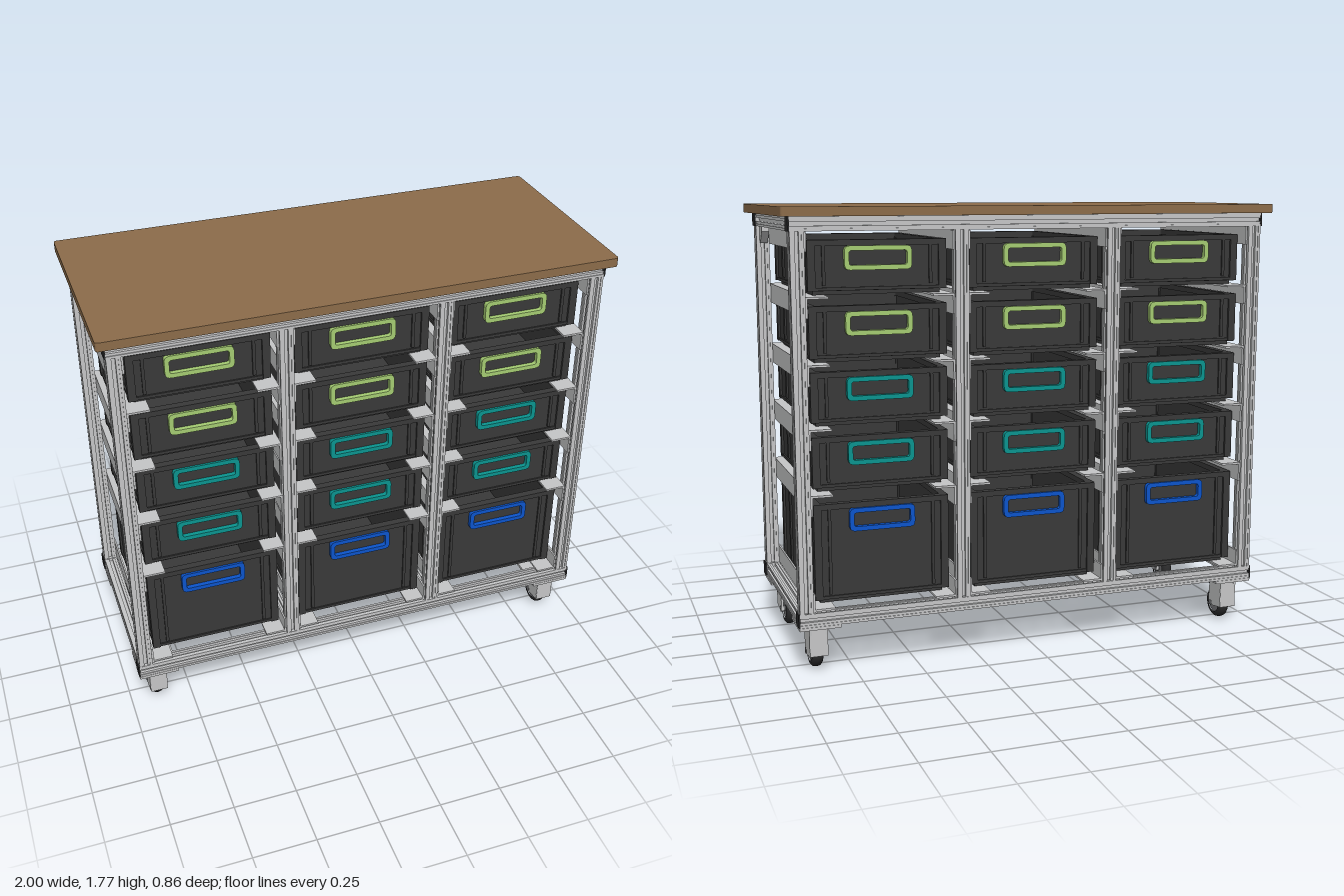
import * as THREE from 'three';

const mat = (name, color) => {
  const m = new THREE.MeshStandardMaterial({ color });
  m.name = name;
  return m;
};

export function createModel() {
  const wood = mat('wood', 0x8c6c4a);
  const aluminium = mat('aluminium', 0xc6c7c8);
  const crateGrey = mat('crate grey', 0x393939);
  const capBlack = mat('cap black', 0x2b2b2c);
  const hubGrey = mat('hub grey', 0x77787a);
  const lime = mat('lime', 0xa5cc72);
  const teal = mat('teal', 0x0b9590);
  const blue = mat('blue', 0x0c55cc);

  const root = new THREE.Group();
  root.name = 'drawerTrolley';

  const add = (parent, name, geo, material, x = 0, y = 0, z = 0) => {
    const m = new THREE.Mesh(geo, material);
    m.name = name;
    m.position.set(x, y, z);
    parent.add(m);
    return m;
  };
  const box = (parent, name, w, h, d, material, x, y, z) =>
    add(parent, name, new THREE.BoxGeometry(w, h, d), material, x, y, z);
  const group = (parent, name) => {
    const g = new THREE.Group();
    g.name = name;
    parent.add(g);
    return g;
  };
  const roundedRect = (target, w, h, r) => {
    const x = w / 2, y = h / 2;
    target.moveTo(-x + r, -y);
    target.lineTo(x - r, -y);
    target.quadraticCurveTo(x, -y, x, -y + r);
    target.lineTo(x, y - r);
    target.quadraticCurveTo(x, y, x - r, y);
    target.lineTo(-x + r, y);
    target.quadraticCurveTo(-x, y, -x, y - r);
    target.lineTo(-x, -y + r);
    target.quadraticCurveTo(-x, -y, -x + r, -y);
    return target;
  };
  const extrude = (shape, depth) =>
    new THREE.ExtrudeGeometry(shape, { depth, bevelEnabled: false, curveSegments: 5 }).translate(0, 0, -depth / 2);

  // Worktop with softened corners
  add(root, 'worktop', extrude(roundedRect(new THREE.Shape(), 2, 0.86, 0.015), 0.035).rotateX(Math.PI / 2), wood, 0, 1.757, 0);

  // Slotted aluminium profile: one side of the section turned four times
  const S = 0.053, H = S / 2;
  const side = [[-H, H], [-0.017, H], [-0.017, H - 0.003], [-0.007, H - 0.003], [-0.007, 0.012],
    [0.007, 0.012], [0.007, H - 0.003], [0.017, H - 0.003], [0.017, H]];
  const section = [];
  for (let k = 0; k < 4; k++) {
    const c = Math.round(Math.cos(k * Math.PI / 2)), s = Math.round(Math.sin(k * Math.PI / 2));
    for (const [x, y] of side) section.push(new THREE.Vector2(x * c + y * s, -x * s + y * c));
  }
  const profileShape = new THREE.Shape(section);
  const profile = (name, axis, length, x, y, z) => {
    const g = extrude(profileShape, length);
    if (axis === 'x') g.rotateY(Math.PI / 2);
    if (axis === 'y') g.rotateX(Math.PI / 2);
    return add(frame, name, g, aluminium, x, y, z);
  };

  // Frame: long rails, posts, cross rails and end caps
  const frame = group(root, 'frame');
  const lowY = 0.225, highY = 1.712, railZ = 0.367, pitch = 0.625;
  const postX = [-1.5, -0.5, 0.5, 1.5].map(k => k * pitch);
  for (const z of [-railZ, railZ]) {
    for (const y of [lowY, highY]) {
      profile('longRail', 'x', 1.928, 0, y, z);
      for (const sx of [-1, 1]) box(frame, 'endCap', 0.006, S, S, capBlack, sx * 0.967, y, z);
    }
    for (const x of postX) profile('post', 'y', highY - lowY - S, x, (lowY + highY) / 2, z);
  }
  for (const x of postX)
    for (const y of [lowY, highY]) profile('crossRail', 'z', 2 * railZ - S, x, y, 0);

  // Triangular corner gussets under the end cross rails
  const gusset = new THREE.Shape([[0, 0], [0, -0.07], [0.012, -0.07], [0.055, -0.022], [0.055, 0]].map(p => new THREE.Vector2(...p)));
  for (const sx of [-1, 1])
    for (const sz of [-1, 1]) {
      const m = add(frame, 'cornerGusset', extrude(gusset, 0.03).rotateY(sz * Math.PI / 2), aluminium, sx * 0.935, 1.686, sz * 0.342);
      m.userData.side = sx;
    }

  // Crates, bottom and top height of each row with its handle colour
  const rows = [
    [1.449, 1.652, lime], [1.198, 1.409, lime], [0.957, 1.163, teal],
    [0.706, 0.917, teal], [0.267, 0.658, blue],
  ];
  const W = 0.535, D = 0.675;
  const handleShape = roundedRect(new THREE.Shape(), 0.258, 0.09, 0.022);
  handleShape.holes.push(roundedRect(new THREE.Path(), 0.222, 0.054, 0.01));
  const handleGeo = extrude(handleShape, 0.022);
  const rimShape = roundedRect(new THREE.Shape(), W, D, 0.012);
  rimShape.holes.push(roundedRect(new THREE.Path(), W - 0.06, D - 0.06, 0.01));
  const rimGeo = extrude(rimShape, 0.022).rotateX(Math.PI / 2);

  const makeCrate = (cx, y0, y1, colour) => {
    const g = group(root, 'crate');
    g.position.set(cx, y0, 0);
    const h = y1 - y0, mid = h / 2 + 0.005;
    box(g, 'crateFloor', W - 0.045, 0.02, D - 0.045, crateGrey, 0, 0.01, 0);
    add(g, 'crateRim', rimGeo, crateGrey, 0, h - 0.011, 0);
    for (const s of [-1, 1]) {
      // Recessed walls
      box(g, 'crateEndWall', W - 0.02, h - 0.02, 0.015, crateGrey, 0, mid, s * (D / 2 - 0.0175));
      box(g, 'crateSideWall', 0.015, h - 0.02, D - 0.02, crateGrey, s * (W / 2 - 0.0175), mid, 0);
      // Lower bands
      box(g, 'crateEndBand', W - 0.01, 0.012, 0.02, crateGrey, 0, 0.022, s * (D / 2 - 0.014));
      box(g, 'crateSideBand', 0.02, 0.012, D - 0.01, crateGrey, s * (W / 2 - 0.014), 0.022, 0);
      for (const t of [-1, 1]) {
        // Corner posts and stiffening ribs
        box(g, 'crateCorner', 0.03, h - 0.016, 0.03, crateGrey, s * (W / 2 - 0.016), mid + 0.002, t * (D / 2 - 0.016));
        box(g, 'crateSideRib', 0.02, h - 0.04, 0.028, crateGrey, s * (W / 2 - 0.013), mid + 0.01, t * 0.178);
        box(g, 'crateEndRib', 0.012, h - 0.04, 0.02, crateGrey, t * 0.205, mid + 0.01, s * (D / 2 - 0.013));
      }
      add(g, 'handle', handleGeo, colour, 0, h - 0.067, s * (D / 2 - 0.002));
    }
  };

  // Angle runners on both sides of every column
  const makeRunner = (cx, s, yBottom, ledgeY) => {
    const g = group(root, 'runner');
    box(g, 'runnerWeb', 0.007, 0.072, 0.77, aluminium, cx + s * 0.281, yBottom + 0.036, 0);
    if (ledgeY) box(g, 'runnerLedge', 0.085, 0.008, 0.77, aluminium, cx + s * 0.242, ledgeY, 0);
  };
  for (const cx of [-pitch, 0, pitch]) {
    for (const [y0, y1, colour] of rows) {
      makeCrate(cx, y0, y1, colour);
      for (const s of [-1, 1]) {
        if (y0 > 0.3) makeRunner(cx, s, y0 - 0.08, y0 - 0.005);
        else makeRunner(cx, s, 0.252, 0.26);
      }
    }
    for (const s of [-1, 1]) makeRunner(cx, s, 1.612, 0);
  }

  // Castors, built for the front and turned round for the back
  const V = (x, y) => new THREE.Vector2(x, y);
  const tyreGeo = new THREE.LatheGeometry(
    [V(0.042, -0.022), V(0.054, -0.022), V(0.063, -0.014), V(0.066, 0), V(0.063, 0.014), V(0.054, 0.022), V(0.042, 0.022)], 28
  ).rotateZ(Math.PI / 2);
  const hubGeo = new THREE.CylinderGeometry(0.043, 0.043, 0.036, 28).rotateZ(Math.PI / 2);
  const axleGeo = new THREE.CylinderGeometry(0.013, 0.013, 0.074, 12).rotateZ(Math.PI / 2);
  const cheekShape = new THREE.Shape([V(-0.355, 0.172), V(-0.262, 0.172), V(-0.255, 0.12), V(-0.255, 0.062),
    V(-0.275, 0.055), V(-0.35, 0.066)]);
  const cheekGeo = extrude(cheekShape, 0.01).rotateY(Math.PI / 2);
  for (const sx of [-1, 1])
    for (const sz of [-1, 1]) {
      const g = group(root, 'castor');
      g.position.x = sx * 0.887;
      if (sz < 0) g.rotation.y = Math.PI;
      box(g, 'mountingPlate', 0.16, 0.012, 0.165, aluminium, 0, 0.192, 0.312);
      add(g, 'swivel', new THREE.CylinderGeometry(0.036, 0.036, 0.02, 20), aluminium, 0, 0.178, 0.308);
      for (const s of [-1, 1]) add(g, 'forkCheek', cheekGeo, aluminium, s * 0.031, 0, 0);
      box(g, 'forkFront', 0.07, 0.107, 0.012, aluminium, 0, 0.119, 0.348);
      box(g, 'forkTop', 0.07, 0.012, 0.09, aluminium, 0, 0.168, 0.309);
      add(g, 'tyre', tyreGeo, capBlack, 0, 0.066, 0.27);
      add(g, 'hub', hubGeo, hubGrey, 0, 0.066, 0.27);
      add(g, 'axle', axleGeo, hubGrey, 0, 0.066, 0.27);
      box(g, 'brakeArm', 0.03, 0.008, 0.08, capBlack, 0, 0.138, 0.225);
      box(g, 'brakePedal', 0.05, 0.014, 0.025, capBlack, 0, 0.138, 0.182);
    }

  return root;
}
